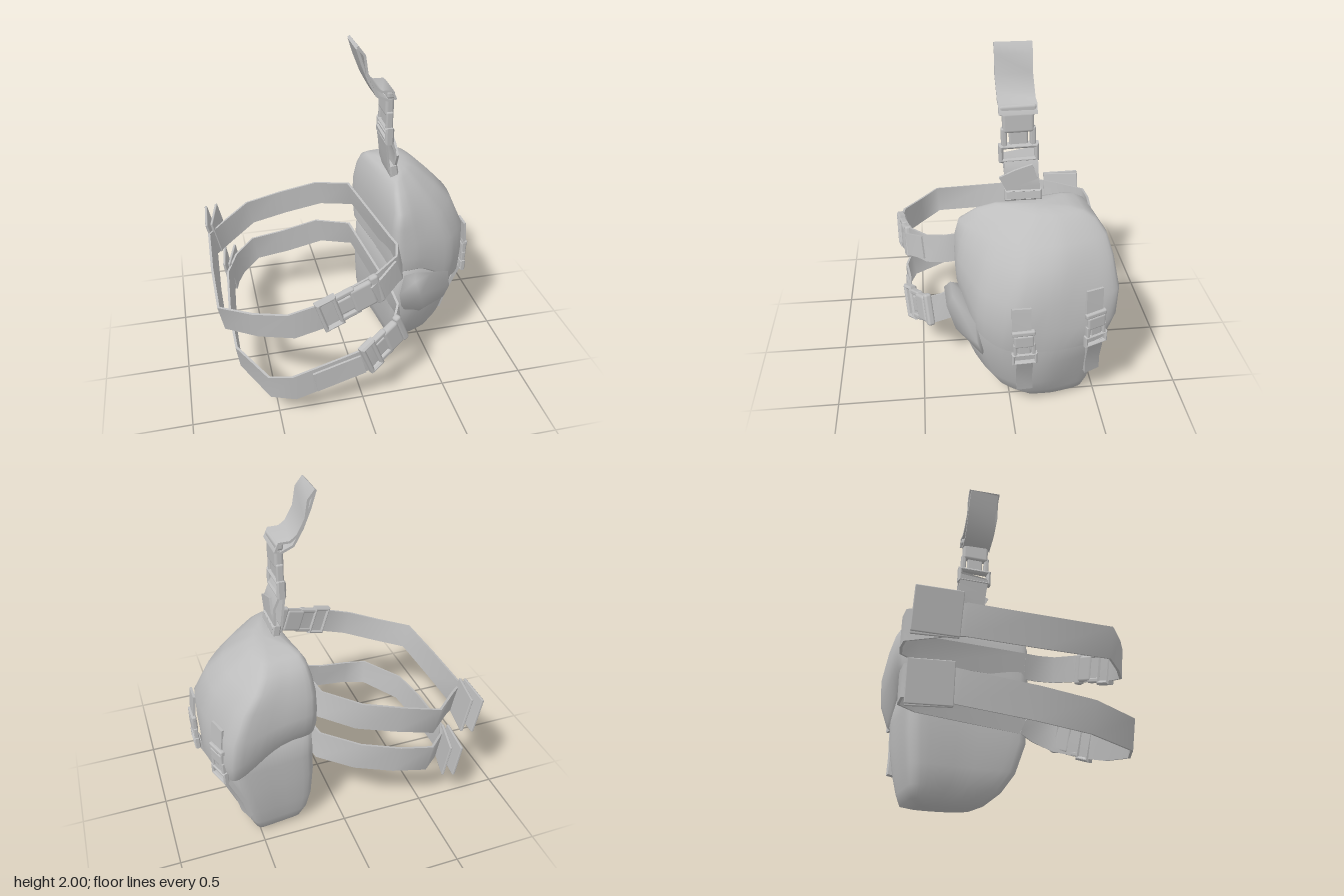
import * as THREE from 'three';
import { RoundedBoxGeometry } from 'three/addons/geometries/RoundedBoxGeometry.js';
import { ConvexGeometry } from 'three/addons/geometries/ConvexGeometry.js';
import { mergeVertices } from 'three/addons/utils/BufferGeometryUtils.js';

const V = (x, y, z) => new THREE.Vector3(x, y, z);
const grey = new THREE.MeshStandardMaterial({ color: 0xbebebe, side: THREE.DoubleSide });
grey.name = 'grey fabric';

function mesh(name, geometry, parent) {
  const m = new THREE.Mesh(geometry, grey);
  m.name = name;
  parent.add(m);
  return m;
}

// Bag outline seen from above: [depth 0 back .. 1 front, width 0 .. 1]
const outline = new THREE.CatmullRomCurve3([
  [0, 0.13], [0.01, 0.5], [0, 0.93], [0.08, 1], [0.3, 0.99], [0.72, 0.88],
  [0.97, 0.68], [1, 0.4], [0.9, 0.1], [0.8, -0.02], [0.45, 0], [0.1, 0.03],
].map(([d, w]) => V(d, 0, w)), true, 'catmullrom', 0.3).getPoints(48).slice(0, 48);

// Loft through levels of [y, backX, frontX, minZ, maxZ, cornerCut], from bottom to top
function loft(levels, { capBottom = true, heightRule = (y) => y } = {}) {
  const n = outline.length, pos = [], index = [];
  for (const [y, xb, xf, z0, z1, cut = 0] of levels) {
    for (const p of outline) {
      const yy = heightRule(y, p.x);
      const z = z0 + (z1 - z0) * p.z * (1 - cut * p.x);
      const crease = 0.01 * p.x * Math.sin(9 * yy + 8 * z);
      pos.push(xb + (xf - xb) * p.x + 0.08 * p.z * (1 - p.x) + crease, yy, z);
    }
  }
  for (let i = 0; i < levels.length - 1; i++) {
    for (let j = 0; j < n; j++) {
      const a = i * n + j, b = i * n + (j + 1) % n;
      index.push(a, b, b + n, a, b + n, a + n);
    }
  }
  const cap = (i, top) => {
    const [y, xb, xf, z0, z1] = levels[i];
    const c = pos.length / 3;
    pos.push((xb + xf) / 2 + 0.03, y + (top ? 0.008 : -0.008), (z0 + z1) / 2);
    for (let j = 0; j < n; j++) {
      const a = i * n + j, b = i * n + (j + 1) % n;
      index.push(...(top ? [c, a, b] : [c, b, a]));
    }
  };
  if (capBottom) cap(0, false);
  cap(levels.length - 1, true);
  const g = new THREE.BufferGeometry();
  g.setAttribute('position', new THREE.Float32BufferAttribute(pos, 3));
  g.setIndex(index);
  g.computeVertexNormals();
  return g;
}

// Flat webbing along a path; its width follows the given direction
function strap(name, parent, path, width, widthDir = V(0, 1, 0), thick = 0.014) {
  const pts = path.map((p) => V(...p)), n = pts.length - 1;
  const g = new THREE.BoxGeometry(1, 1, 1, n, 1, 1), a = g.attributes.position;
  for (let k = 0; k < a.count; k++) {
    const i = Math.round((a.getX(k) + 0.5) * n);
    const t = pts[Math.min(i + 1, n)].clone().sub(pts[Math.max(i - 1, 0)]).normalize();
    const w = widthDir.clone().addScaledVector(t, -t.dot(widthDir)).normalize();
    const d = t.clone().cross(w);
    const p = pts[i].clone().addScaledVector(w, a.getY(k) * width).addScaledVector(d, a.getZ(k) * thick);
    a.setXYZ(k, p.x, p.y, p.z);
  }
  g.computeVertexNormals();
  return mesh(name, g, parent);
}

// Rectangular ring with a slot, lying in the xy plane
function ring(w, h, rim, depth) {
  const rect = (T, x, y) => {
    const s = new T();
    s.moveTo(-x, -y); s.lineTo(x, -y); s.lineTo(x, y); s.lineTo(-x, y); s.closePath();
    return s;
  };
  const s = rect(THREE.Shape, w / 2, h / 2);
  s.holes.push(rect(THREE.Path, w / 2 - rim, h / 2 - rim));
  const b = depth * 0.2;
  return new THREE.ExtrudeGeometry(s, {
    depth: depth - 2 * b, bevelEnabled: true, bevelSize: b, bevelThickness: b, bevelOffset: -b, bevelSegments: 1,
  }).translate(0, 0, -depth / 2 + b);
}

// Place a group midway between two points, x along the line and y along the width
function between(name, parent, from, to, widthDir) {
  const a = V(...from), b = V(...to), g = new THREE.Group();
  const t = b.clone().sub(a).normalize();
  const w = widthDir.clone().addScaledVector(t, -t.dot(widthDir)).normalize();
  g.quaternion.setFromRotationMatrix(new THREE.Matrix4().makeBasis(t, w, t.clone().cross(w)));
  g.position.copy(a).add(b).multiplyScalar(0.5);
  g.name = name;
  parent.add(g);
  return [g, a.distanceTo(b)];
}

// Side-release buckle: slotted frame, prongs, socket and rear bar
function buckle(name, parent, from, to, width, widthDir = V(0, 1, 0)) {
  const [g, len] = between(name, parent, from, to, widthDir);
  const d = width * 0.28;
  mesh('buckleFrame', ring(len * 0.32, width * 1.18, width * 0.14, d), g).position.x = -len * 0.34;
  for (const s of [-1, 1]) {
    mesh('buckleProng', new RoundedBoxGeometry(len * 0.34, width * 0.17, d * 0.8, 2, d * 0.2), g)
      .position.set(-len * 0.06, s * width * 0.42, 0);
  }
  mesh('buckleTongue', new RoundedBoxGeometry(len * 0.3, width * 0.55, d * 0.5, 2, d * 0.2), g).position.x = -len * 0.06;
  mesh('buckleSocket', new RoundedBoxGeometry(len * 0.36, width * 0.92, d, 2, d * 0.35), g).position.x = len * 0.2;
  mesh('buckleBar', new RoundedBoxGeometry(len * 0.14, width * 1.08, d * 0.9, 2, d * 0.3), g).position.x = len * 0.43;
}

// Folded strap adjuster
function adjuster(name, parent, from, to, height, widthDir) {
  const [g, len] = between(name, parent, from, to, widthDir);
  for (const s of [-1, 1]) {
    const p = mesh('adjusterPlate', new RoundedBoxGeometry(len, height, 0.016, 1, 0.005), g);
    p.position.z = s * 0.025;
    p.rotation.y = -s * 0.08;
  }
}

export function createModel() {
  const model = new THREE.Group();
  model.name = 'legBag';

  // Bag body, flap and side pocket
  mesh('bagBody', loft([
    [0.015, 0.30, 0.47, -0.36, -0.04], [0.04, 0.23, 0.57, -0.42, 0.03], [0.11, 0.19, 0.61, -0.44, 0.12],
    [0.22, 0.165, 0.65, -0.46, 0.2], [0.4, 0.155, 0.70, -0.48, 0.265], [0.55, 0.155, 0.73, -0.48, 0.27],
    [0.8, 0.17, 0.72, -0.48, 0.265],
  ]), model);
  const lower = (y, d) => y - 0.2 * THREE.MathUtils.smoothstep(d, 0.25, 0.95) * THREE.MathUtils.clamp((1 - y) / 0.28, 0, 1);
  mesh('bagFlap', loft([
    [0.715, 0.155, 0.735, -0.485, 0.27], [0.725, 0.15, 0.755, -0.5, 0.28], [0.8, 0.15, 0.76, -0.54, 0.285],
    [0.9, 0.15, 0.75, -0.55, 0.29, 0.03], [1.0, 0.15, 0.675, -0.525, 0.29, 0.12], [1.09, 0.165, 0.585, -0.5, 0.27, 0.18],
    [1.16, 0.185, 0.51, -0.45, 0.17, 0.2], [1.195, 0.21, 0.46, -0.39, 0.07, 0.2], [1.21, 0.25, 0.42, -0.32, -0.02, 0.1],
  ], { capBottom: false, heightRule: lower }), model);
  const pocket = new ConvexGeometry([
    [0.3, 0.68, 0.27], [0.35, 0.73, 0.32], [0.34, 0.69, 0.355], [0.45, 0.7, 0.31], [0.6, 0.62, 0.2],
    [0.38, 0.58, 0.345], [0.62, 0.5, 0.19], [0.27, 0.56, 0.29], [0.42, 0.45, 0.3], [0.6, 0.4, 0.16],
    [0.3, 0.42, 0.26], [0.42, 0.34, 0.2], [0.45, 0.55, 0.1],
  ].map((p) => V(...p)));
  pocket.deleteAttribute('normal');
  const pocketSmooth = mergeVertices(pocket, 1e-4);
  pocketSmooth.computeVertexNormals();
  mesh('sidePocket', pocketSmooth, model);

  // Upper and lower leg straps, each a loop starting at the bag's back
  const upper = [
    [0.225, 0.88, 0.25], [0.24, 0.88, 0.34], [0.21, 0.87, 0.44], [0.08, 0.84, 0.53], [-0.25, 0.73, 0.59],
    [-0.42, 0.68, 0.58], [-0.6, 0.645, 0.48], [-0.77, 0.63, 0.36], [-0.775, 0.64, 0], [-0.765, 0.66, -0.36],
    [-0.66, 0.69, -0.45], [-0.5, 0.72, -0.6], [-0.28, 0.78, -0.585], [-0.05, 0.84, -0.55],
    [0.14, 0.88, -0.42], [0.225, 0.88, 0.25],
  ];
  const lowerPath = [
    [0.225, 0.53, 0.25], [0.25, 0.49, 0.34], [0.22, 0.44, 0.44], [0.0, 0.35, 0.56], [-0.2, 0.29, 0.565],
    [-0.42, 0.25, 0.59], [-0.55, 0.25, 0.55], [-0.695, 0.27, 0.28], [-0.7, 0.31, 0], [-0.675, 0.36, -0.36],
    [-0.6, 0.41, -0.48], [-0.48, 0.44, -0.595], [-0.28, 0.48, -0.58], [-0.05, 0.55, -0.55],
    [0.14, 0.58, -0.42], [0.225, 0.53, 0.25],
  ];
  const upperTilt = V(-0.22, 1, 0), lowerTilt = V(-0.17, 1, 0);
  strap('upperLegStrap', model, upper, 0.16, upperTilt);
  strap('lowerLegStrap', model, lowerPath, 0.165, lowerTilt);
  strap('upperStrapTail', model, [[0.2, 0.87, 0.46], [0.1, 0.83, 0.54], [0.04, 0.8, 0.57]], 0.13, upperTilt);
  strap('lowerStrapTail', model, [[-0.02, 0.335, 0.575], [-0.2, 0.285, 0.58], [-0.3, 0.265, 0.59]], 0.13, lowerTilt);
  buckle('upperLegBuckle', model, [-0.27, 0.725, 0.6], [0.08, 0.835, 0.54], 0.17, upperTilt);
  buckle('lowerLegBuckle', model, [-0.01, 0.35, 0.575], [0.25, 0.46, 0.44], 0.18, lowerTilt);
  adjuster('upperAdjuster', model, [-0.755, 0.685, -0.38], [-0.725, 0.7, -0.61], 0.22, upperTilt);
  adjuster('lowerAdjuster', model, [-0.675, 0.37, -0.39], [-0.635, 0.375, -0.61], 0.21, lowerTilt);

  // Hanging strap above the bag
  const zDir = V(0, 0, 1);
  strap('hangerWebbing', model, [[0.06, 2, -0.055], [0.1, 1.95, -0.055], [0.115, 1.85, -0.055], [0.16, 1.77, -0.06],
    [0.2, 1.74, -0.06], [0.26, 1.74, -0.06], [0.28, 1.69, -0.06]], 0.2, zDir);
  strap('hangerWebbingFold', model, [[0.06, 1.99, -0.055], [0.09, 1.9, -0.06], [0.13, 1.8, -0.06], [0.18, 1.71, -0.06],
    [0.25, 1.68, -0.06]], 0.18, zDir);
  buckle('hangerBuckle', model, [0.255, 1.42, -0.07], [0.255, 1.74, -0.06], 0.18, zDir);
  strap('hangerLoopOuter', model, [[0.245, 1.48, -0.07], [0.275, 1.42, -0.08], [0.3, 1.36, -0.08], [0.3, 1.28, -0.09], [0.3, 1.18, -0.09]], 0.18, zDir);
  strap('hangerLoopInner', model, [[0.235, 1.46, -0.07], [0.25, 1.37, -0.08], [0.265, 1.26, -0.09], [0.29, 1.18, -0.09]], 0.18, zDir);
  strap('hangerLooseEnd', model, [[0.31, 1.38, -0.15], [0.31, 1.35, -0.06], [0.305, 1.31, 0.02]], 0.09, V(0, 1, 0.3));
  const [base, baseLen] = between('hangerBase', model, [0.29, 1.27, -0.09], [0.3, 1.21, -0.09], zDir);
  mesh('hangerBaseRing', ring(baseLen, 0.2, 0.018, 0.05), base);

  // Two closure clips on the outer face, each with a hanging tail
  for (const [name, x, y, z, dir] of [
    ['frontClip', 0.765, 0, -0.03, V(0, 0, -1)],
    ['rearClip', 0.705, 0.05, -0.42, V(-0.35, 0, -1)],
  ]) {
    strap(name + 'Webbing', model, [[x - 0.005, 0.83 + y, z], [x + 0.005, 0.72 + y, z], [x + 0.01, 0.6 + y, z - 0.01],
      [x - 0.005, 0.48 + y, z - 0.02]], 0.1, dir);
    buckle(name + 'Buckle', model, [x + 0.008, 0.48 + y, z - 0.02], [x + 0.012, 0.7 + y, z - 0.01], 0.115, dir);
    strap(name + 'Tail', model, [[x - 0.005, 0.5 + y, z - 0.02], [x - 0.04, 0.42 + y, z - 0.025], [x - 0.09, 0.3 + y, z - 0.03],
      [x - 0.12, 0.18 + y, z - 0.04]], 0.09, dir, 0.025);
  }
  return model;
}
